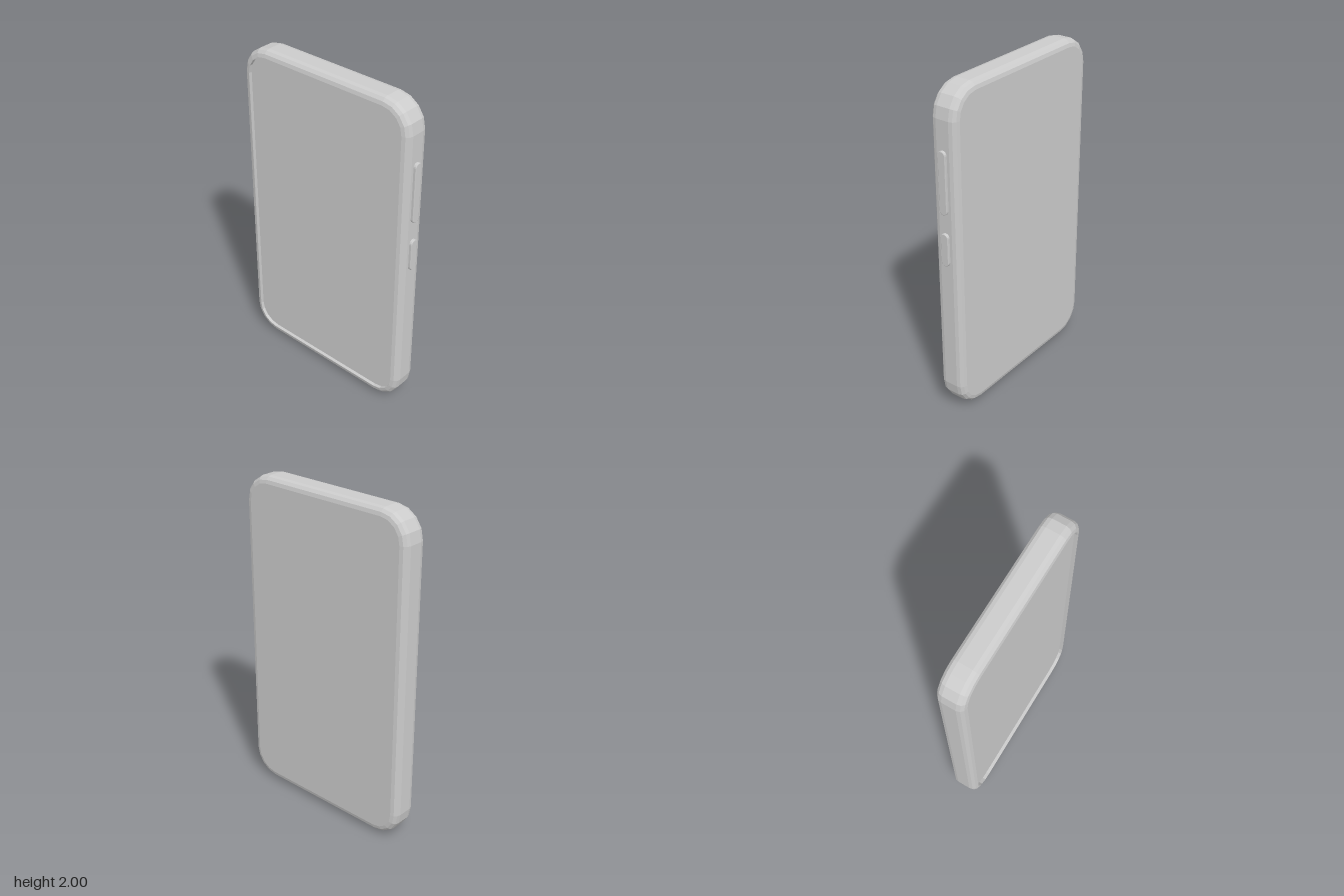
import * as THREE from 'three';

const material = new THREE.MeshStandardMaterial({ color: 0xcccccc, flatShading: true });
const WIDTH = 1.163, HEIGHT = 1.98, RADIUS = 0.17, HALF_DEPTH = 0.083, BEVEL = 0.042;
const CENTER_X = -0.0085, CENTER_Y = 1.01, RECESS = 0.02;

// Counter-clockwise rounded rectangle, inset from its outer edge
function outline(width, height, radius, inset = 0, segments = 4) {
  const r = radius - inset, points = [];
  const cx = width / 2 - radius, cy = height / 2 - radius;
  [[1, 1], [-1, 1], [-1, -1], [1, -1]].forEach(([sx, sy], corner) => {
    for (let i = 0; i <= segments; i++) {
      const a = (corner + i / segments) * Math.PI / 2;
      points.push(new THREE.Vector2(sx * cx + r * Math.cos(a), sy * cy + r * Math.sin(a)));
    }
  });
  return points;
}

function part(name, geometry) {
  const mesh = new THREE.Mesh(geometry, material);
  mesh.name = name;
  return mesh;
}

// Shell lofted through inset outlines, from the back face to the screen recess
function shellGeometry() {
  const profile = [];
  for (let i = 0; i <= 3; i++) {
    const a = i / 3 * Math.PI / 2;
    profile.push([BEVEL * (1 - Math.sin(a)), -HALF_DEPTH + BEVEL * (1 - Math.cos(a))]);
  }
  for (const [inset, z] of profile.slice().reverse()) profile.push([inset, -z]);
  profile.push([BEVEL + 0.003, HALF_DEPTH], [BEVEL + 0.003, HALF_DEPTH - RECESS]);

  const positions = [], index = [];
  let count = 0;
  profile.forEach(([inset, z]) => {
    const ring = outline(WIDTH, HEIGHT, RADIUS, inset);
    count = ring.length;
    ring.forEach(p => positions.push(p.x, p.y, z));
  });
  for (let k = 0; k < profile.length - 1; k++) {
    for (let i = 0; i < count; i++) {
      const a = k * count + i, b = k * count + (i + 1) % count;
      index.push(a, b, b + count, a, b + count, a + count);
    }
  }
  const geometry = new THREE.BufferGeometry();
  geometry.setAttribute('position', new THREE.Float32BufferAttribute(positions, 3));
  geometry.setIndex(index);
  geometry.computeVertexNormals();
  return geometry;
}

// Pill-shaped raised key: length along y, rising along +z from z = 0
function pillGeometry(length, width, height) {
  const bevel = 0.004;
  const shape = new THREE.Shape(outline(width, length, width / 2 - 0.001, bevel));
  const sink = 0.01;
  return new THREE.ExtrudeGeometry(shape, {
    depth: height + sink - bevel, bevelThickness: bevel, bevelSize: bevel, bevelSegments: 2,
  }).translate(0, 0, -sink);
}

export function createModel() {
  const model = new THREE.Group();
  model.name = 'phone';

  // Body with recessed screen
  const body = new THREE.Group();
  body.name = 'body';
  body.position.set(CENTER_X, CENTER_Y, 0);
  body.add(part('shell', shellGeometry()));

  const face = inset => new THREE.ShapeGeometry(new THREE.Shape(outline(WIDTH, HEIGHT, RADIUS, inset)));
  const screen = part('screen', face(BEVEL + 0.003));
  screen.position.z = HALF_DEPTH - RECESS;
  const back = part('backPanel', face(BEVEL).scale(-1, 1, 1));
  // Mirroring reversed the winding, so the panel now faces backward
  back.geometry.computeVertexNormals();
  back.position.z = -HALF_DEPTH;
  body.add(screen, back);
  model.add(body);

  // Side keys
  for (const [name, low, high] of [['volumeButton', 1.3, 1.665], ['powerButton', 0.99, 1.187]]) {
    const button = part(name, pillGeometry(high - low, 0.05, 0.016));
    button.rotation.y = Math.PI / 2;
    button.position.set(CENTER_X + WIDTH / 2, (low + high) / 2, 0);
    model.add(button);
  }

  // Connector on the bottom edge
  const port = part('bottomPort', pillGeometry(0.18, 0.05, 0.02).rotateZ(Math.PI / 2));
  port.rotation.x = Math.PI / 2;
  port.position.set(CENTER_X, CENTER_Y - HEIGHT / 2, 0);
  model.add(port);

  return model;
}
